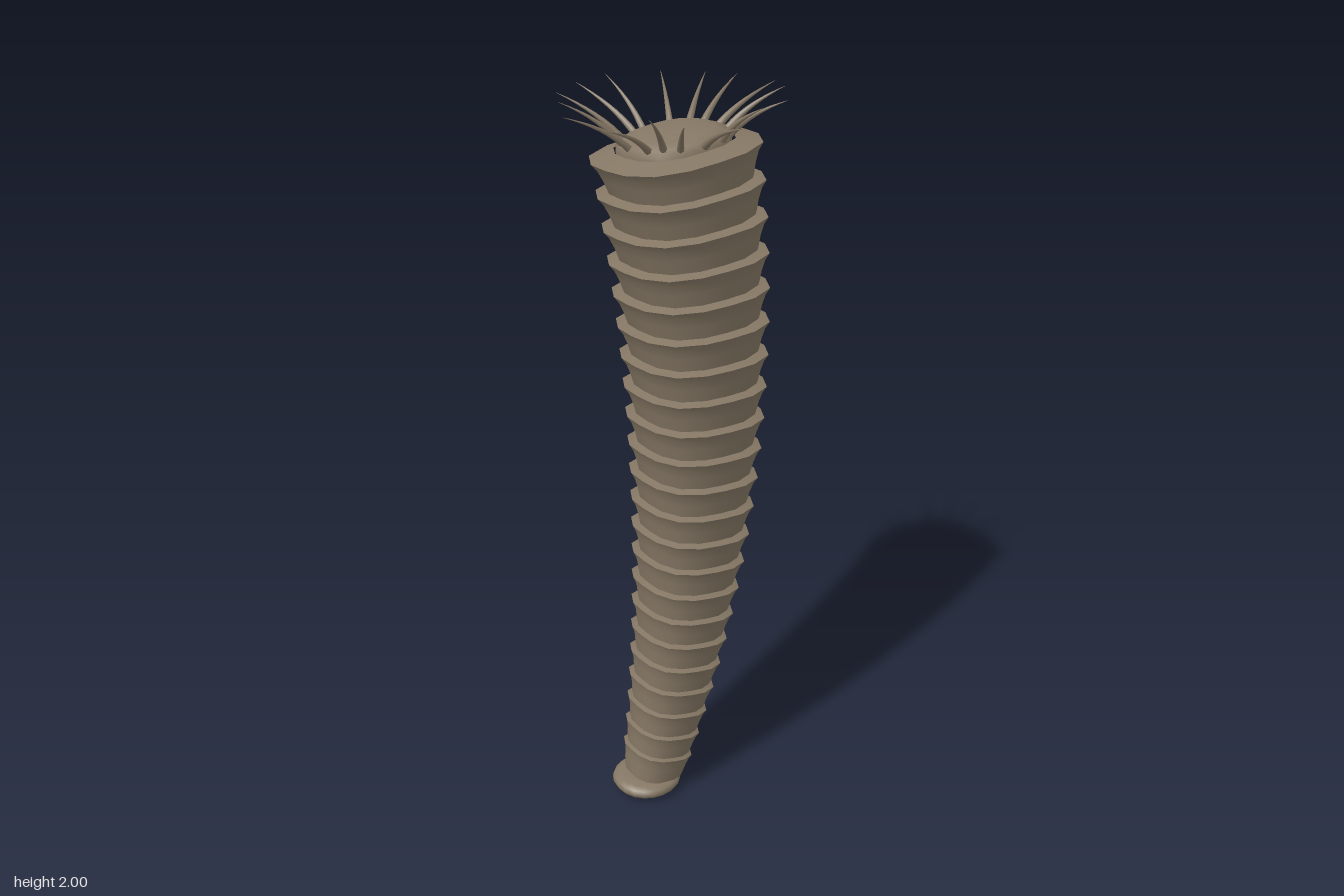
import * as THREE from 'three';
import { mergeVertices } from 'three/addons/utils/BufferGeometryUtils.js';

const skin = new THREE.MeshStandardMaterial({ color: 0x857764 });
skin.name = 'taupeSkin';

// Gently bowed spine and the body radius along its height
const spine = (y) => new THREE.Vector3(
  -0.152 + 0.275 * y - 0.106 * y * y, y, 0.082 - 0.01 * y - 0.019 * y * y);
const tangent = (y) => new THREE.Vector3(0.275 - 0.212 * y, 1, -0.01 - 0.038 * y).normalize();
const bodyRadius = (y) => 0.08 + 0.105 * y - 0.02 * y * y;

// Lathe whose round section is eased towards a rounded square, smooth shaded
function squaredLathe(profile, sides = 16, power = 2.8) {
  let geo = new THREE.LatheGeometry(profile.map(([r, y]) => new THREE.Vector2(r, y)), sides);
  const p = geo.attributes.position;
  for (let i = 0; i < p.count; i++) {
    const a = Math.atan2(p.getZ(i), p.getX(i));
    const k = Math.pow(Math.abs(Math.cos(a)) ** power + Math.abs(Math.sin(a)) ** power, -1 / power);
    p.setX(i, p.getX(i) * k);
    p.setZ(i, p.getZ(i) * k);
  }
  geo.deleteAttribute('normal');
  geo.deleteAttribute('uv');
  geo = mergeVertices(geo, 1e-5);
  geo.computeVertexNormals();
  return geo;
}

function addMesh(parent, name, geo) {
  const mesh = new THREE.Mesh(geo, skin);
  mesh.name = name;
  parent.add(mesh);
  return mesh;
}

// Tapering tentacle swept along a curve, closing to a point
function tentacleGeometry(curve, radius, steps = 8, sides = 6) {
  const geo = new THREE.TubeGeometry(curve, steps, radius, sides);
  const p = geo.attributes.position;
  const v = new THREE.Vector3();
  for (let i = 0; i < p.count; i++) {
    const t = Math.floor(i / (sides + 1)) / steps;
    const c = curve.getPointAt(t);
    v.fromBufferAttribute(p, i).sub(c).multiplyScalar(1 - 0.97 * t).add(c);
    p.setXYZ(i, v.x, v.y, v.z);
  }
  return geo;
}

export function createModel() {
  const model = new THREE.Group();
  model.name = 'tubeCreature';
  const up = new THREE.Vector3(0, 1, 0);

  // Stacked flaring cups
  const count = 22;
  const level = (i) => 0.05 + 1.805 * (0.85 * (i / count) + 0.15 * (i / count) ** 2);
  for (let i = 0; i < count; i++) {
    const y = level(i + 1);
    const h = y - level(i);
    const r = bodyRadius(y);
    const cup = new THREE.Group();
    cup.name = 'bodySegment';
    cup.position.copy(spine(y));
    cup.quaternion.setFromUnitVectors(up, tangent(y));
    addMesh(cup, 'segmentWall', squaredLathe([
      [0.8 * r, -1.15 * h], [0.85 * r, -0.85 * h], [0.89 * r, -0.5 * h],
      [0.94 * r, -0.2 * h], [r, 0]]));
    addMesh(cup, 'segmentLip', squaredLathe([[r, 0], [0.7 * r, 0.016]]));
    model.add(cup);
  }

  // Domed disc at the top
  const crown = new THREE.Group();
  crown.name = 'crown';
  crown.position.set(-0.01, 1.865, -0.003);
  crown.quaternion.setFromUnitVectors(up, tangent(1.855));
  addMesh(crown, 'oralDisc', squaredLathe([
    [0.142, -0.01], [0.143, 0.012], [0.132, 0.027], [0.105, 0.038], [0.06, 0.045], [0, 0.048]],
  16, 2.4));
  model.add(crown);

  // Tentacles around the disc, given by the x and z of their tips
  const tips = [
    [-0.11, -0.32], [-0.035, -0.295], [0.135, -0.295], [0.245, -0.243],
    [0.287, -0.155], [0.32, -0.03], [0.272, 0.08], [0.187, 0.207],
    [0.097, 0.243], [-0.017, 0.317], [-0.147, 0.257], [-0.2, 0.185],
    [-0.293, 0.15], [-0.322, -0.008], [-0.278, -0.11], [-0.228, -0.21]];
  for (const [x, z] of tips) {
    const reach = Math.hypot(x, z);
    const at = (d, y) => new THREE.Vector3(x * d / reach, y, z * d / reach);
    const baseY = 1.88 + 0.1 * (x + z) * 0.135 / reach;
    const tipY = 2 - Math.max(0, reach - 0.27) * 0.4;
    const curve = new THREE.QuadraticBezierCurve3(
      at(0.132, baseY), at(0.132 + 0.32 * (reach - 0.132), baseY + 0.6 * (tipY - baseY)), at(reach, tipY));
    addMesh(model, 'tentacle', tentacleGeometry(curve, 0.0105));
  }

  // Flat foot with a hollow underside
  const foot = addMesh(model, 'foot', squaredLathe([
    [0, 0.02], [0.05, 0.016], [0.075, 0.01], [0.09, 0.016], [0.097, 0.028],
    [0.092, 0.04], [0.078, 0.047], [0.05, 0.05], [0, 0.05]], 20, 2.1));
  foot.position.set(-0.159, 0, 0.08);
  // Stub of the body poking through the foot
  const stub = addMesh(model, 'bodyStub', squaredLathe([
    [0, 0], [0.025, 0.002], [0.045, 0.015], [0.07, 0.06]], 16, 2.3));
  stub.position.set(-0.135, 0, 0.08);
  return model;
}
